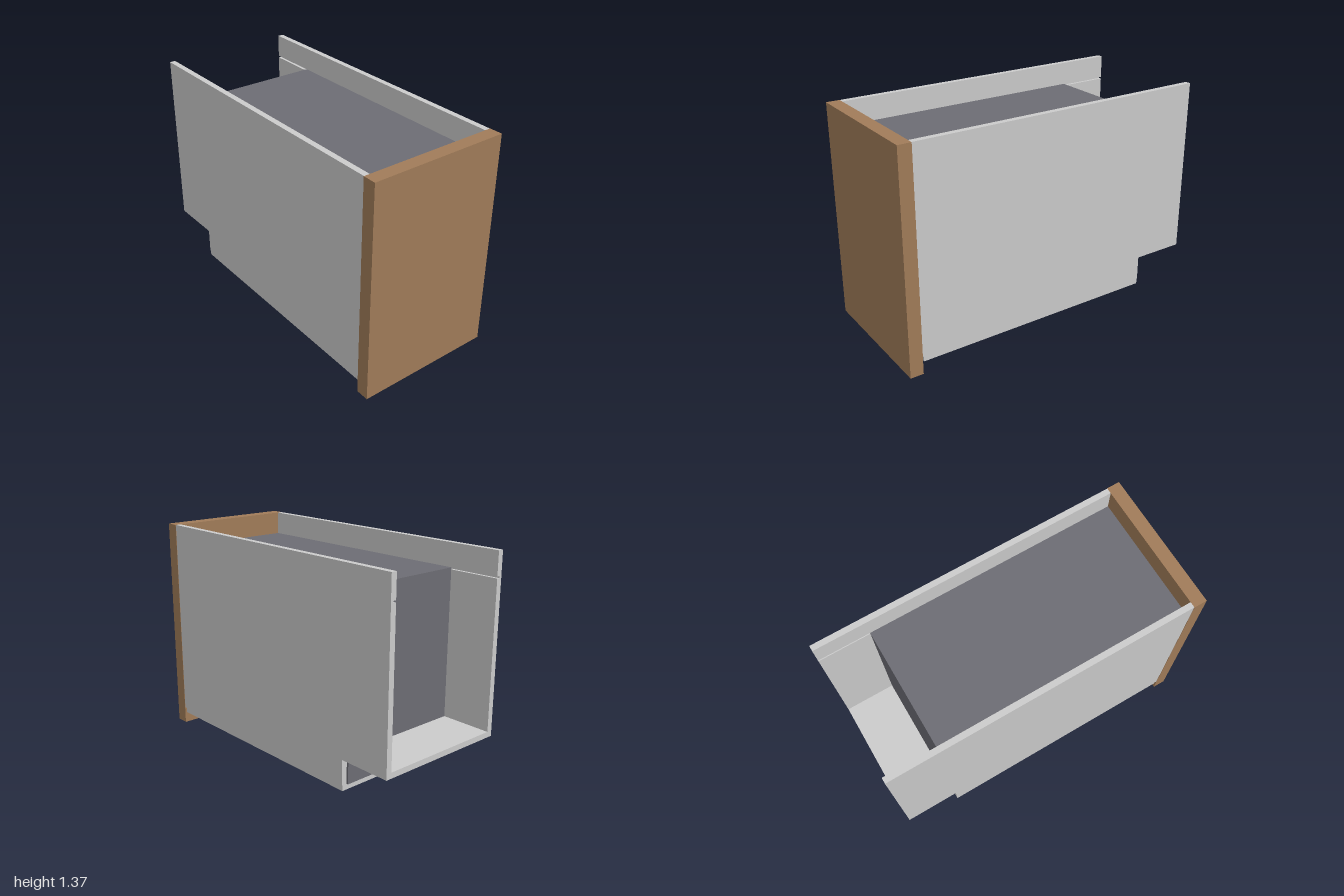
import * as THREE from 'three';

const grey = new THREE.MeshStandardMaterial({ color: 0xcccccc });
const wood = new THREE.MeshStandardMaterial({ color: 0xa17c59 });
const dark = new THREE.MeshStandardMaterial({ color: 0x6d6d74 });

// Box given by its limits on each axis
function block(name, [x0, x1], [y0, y1], [z0, z1], material = grey) {
  const mesh = new THREE.Mesh(new THREE.BoxGeometry(x1 - x0, y1 - y0, z1 - z0), material);
  mesh.position.set((x0 + x1) / 2, (y0 + y1) / 2, (z0 + z1) / 2);
  mesh.name = name;
  return mesh;
}

// Stepped side outline in z and y, extruded along x
function steppedSlab(name, x0, x1, top) {
  const outline = [[-1, 0.265], [-0.663, 0.265], [-0.663, 0.11], [0.918, 0.11], [0.918, top], [-1, top]];
  const shape = new THREE.Shape(outline.map(([z, y]) => new THREE.Vector2(-z, y)));
  const geometry = new THREE.ExtrudeGeometry(shape, { depth: x1 - x0, bevelEnabled: false });
  geometry.rotateY(Math.PI / 2);
  const mesh = new THREE.Mesh(geometry, grey);
  mesh.position.x = x0;
  mesh.name = name;
  return mesh;
}

function rod(name, radius, length, material = grey) {
  const mesh = new THREE.Mesh(new THREE.CylinderGeometry(radius, radius, length, 16), material);
  mesh.name = name;
  return mesh;
}

export function createModel() {
  const model = new THREE.Group();
  model.name = 'drawerBox';

  // Wooden front and the dark inner body
  model.add(block('frontPanel', [-0.44, 0.44], [0, 1.367], [0.918, 1], wood));
  model.add(block('innerBody', [-0.402, 0.402], [0.11, 1.222], [-0.675, 0.918], dark));

  // Side panels, each with a narrow groove along its inner face
  for (const side of [1, -1]) {
    const panel = new THREE.Group();
    panel.name = side > 0 ? 'leftSide' : 'rightSide';
    const span = (a, b) => (side > 0 ? [a, b] : [-b, -a]);
    panel.add(steppedSlab('outerLayer', ...span(0.42, 0.438), 1.367));
    panel.add(steppedSlab('innerLayer', ...span(0.402, 0.42), 1.21));
    panel.add(block('innerLayerTop', span(0.402, 0.42), [1.222, 1.367], [-1, 0.918]));
    model.add(panel);
  }

  // Raised rear floor and the lower bottom panel
  model.add(block('rearFloor', [-0.402, 0.402], [0.265, 0.3], [-1, -0.663]));
  model.add(block('bottomPanel', [-0.434, 0.434], [0.075, 0.11], [-0.663, 0.908]));

  // Small bar handle under the bottom panel
  const handle = new THREE.Group();
  handle.name = 'handle';
  const bar = rod('handleBar', 0.01, 0.215);
  bar.rotation.x = Math.PI / 2;
  bar.position.set(0, 0.015, 0.707);
  handle.add(bar);
  for (const z of [0.653, 0.761]) {
    const post = rod('handlePost', 0.006, 0.06);
    post.position.set(0, 0.045, z);
    handle.add(post);
  }
  handle.position.x = 0.325;
  model.add(handle);

  return model;
}
